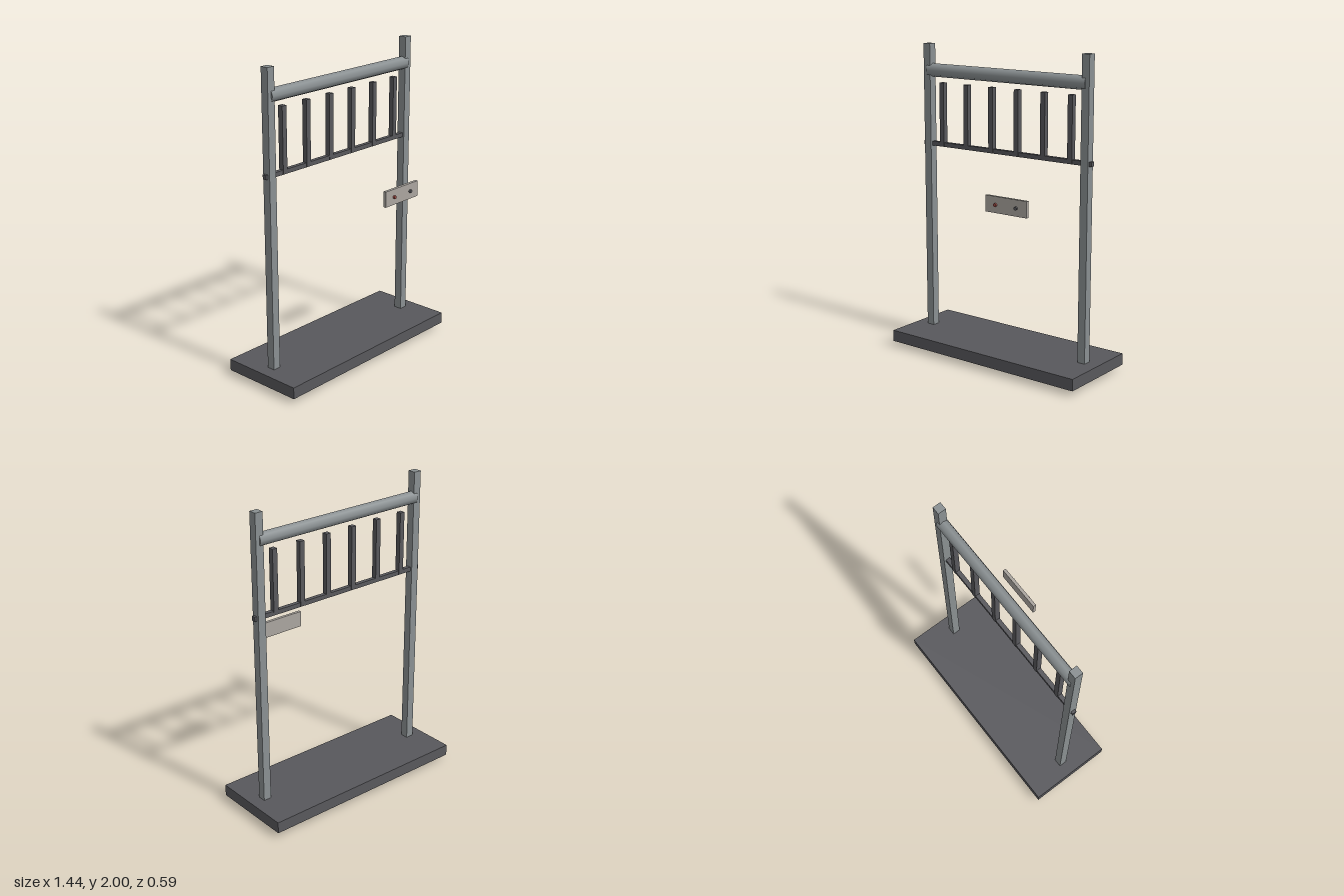
import * as THREE from 'three';

const Z = -0.017; // shared centre plane of the frame

const paint = (color) => new THREE.MeshStandardMaterial({ color });

export function createModel() {
  const root = new THREE.Group();
  const steel = paint(0x8a9092);
  const dark = paint(0x58585c);
  const plateGrey = paint(0xaaa59f);
  const red = paint(0x9a4a44);

  const add = (name, geometry, material, x, y, z) => {
    const mesh = new THREE.Mesh(geometry, material);
    mesh.name = name;
    mesh.position.set(x, y, z);
    root.add(mesh);
    return mesh;
  };
  const box = (name, material, size, x, y, z) =>
    add(name, new THREE.BoxGeometry(...size), material, x, y, z);

  // Base slab, with the post feet poking out below it
  box('base', dark, [1.444, 0.075, 0.557], 0, 0.073, Z);

  // Upright posts
  for (const side of [-1, 1]) {
    box(side > 0 ? 'leftPost' : 'rightPost', steel, [0.053, 2, 0.053], side * 0.612, 1, Z);
  }

  // Round top beam, slightly narrower in depth than in height
  const beam = new THREE.CylinderGeometry(0.043, 0.043, 1.224, 8);
  beam.rotateZ(Math.PI / 2);
  beam.scale(1, 1, 0.87);
  add('topBeam', beam, steel, 0, 1.83, Z);

  // Lower rail running through both posts
  box('lowerRail', dark, [1.31, 0.028, 0.028], 0, 1.353, Z);

  // Row of upright slats standing on the rail
  for (let i = 0; i < 6; i++) {
    box('slat', dark, [0.034, 0.412, 0.034], -0.5 + i * 0.2, 1.548, Z);
  }

  // Control plate with two buttons
  box('controlPlate', plateGrey, [0.31, 0.102, 0.02], 0.24, 1.095, 0.273);
  const button = new THREE.CylinderGeometry(0.011, 0.011, 0.02, 12);
  button.rotateX(Math.PI / 2);
  add('redButton', button, red, 0.163, 1.095, 0.285);
  add('greyButton', button, dark, 0.318, 1.095, 0.285);

  return root;
}
